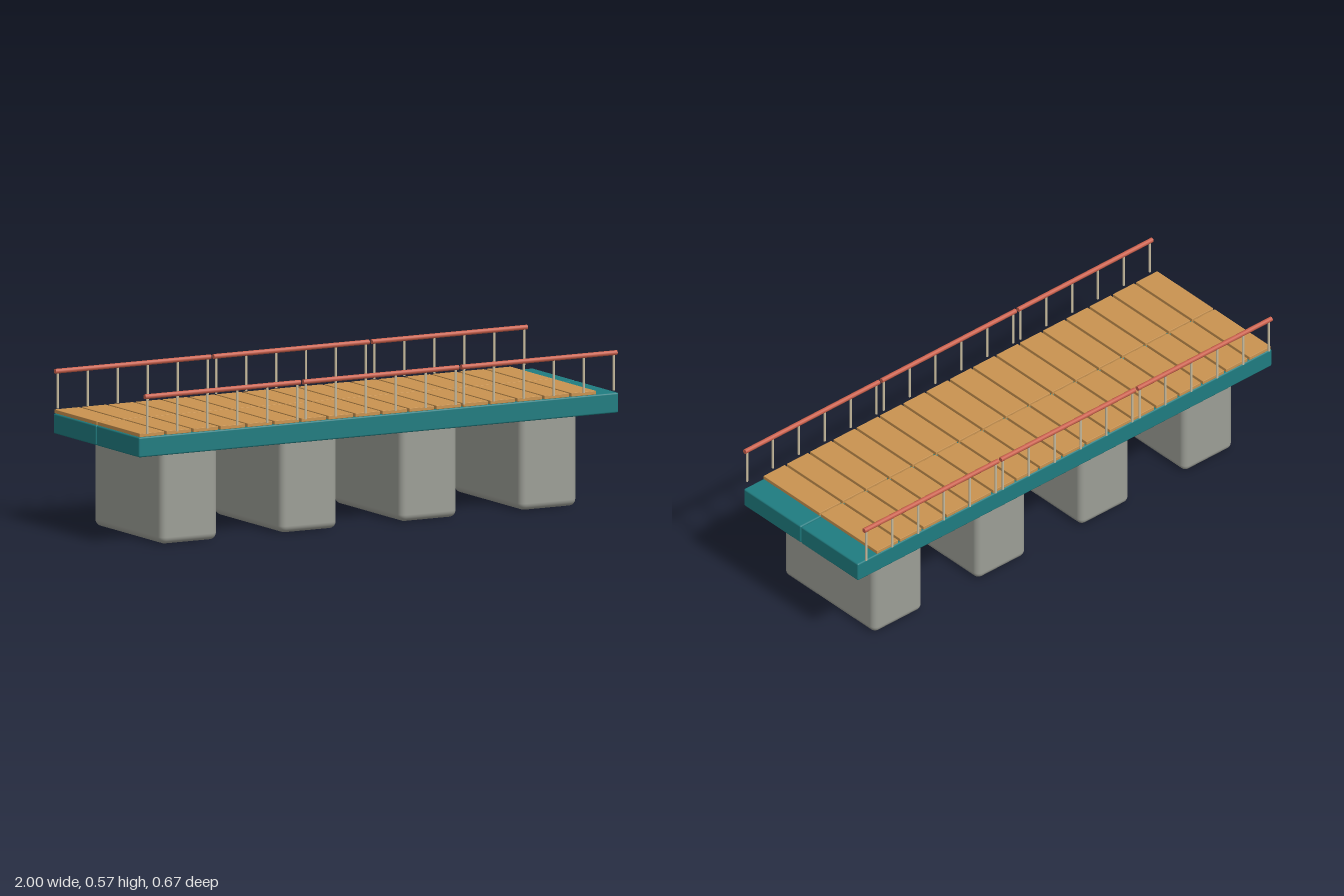
import * as THREE from 'three';
import { RoundedBoxGeometry } from 'three/addons/geometries/RoundedBoxGeometry.js';

const material = (name, color) => {
  const m = new THREE.MeshStandardMaterial({ color });
  m.name = name;
  return m;
};

export function createModel() {
  const bridge = new THREE.Group();
  bridge.name = 'bridge';

  const stone = material('grey stone', 0x9c9e96);
  const teal = material('teal paint', 0x1f7c80);
  const wood = material('plank wood', 0xc99350);
  const red = material('red handrail', 0xc9604c);
  const cream = material('cream post', 0xc9bda0);

  const add = (parent, name, geometry, mat, x, y, z) => {
    const mesh = new THREE.Mesh(geometry, mat);
    mesh.name = name;
    mesh.position.set(x, y, z);
    parent.add(mesh);
    return mesh;
  };

  // Four rounded piers, their tops sunk into the girders
  const pierGeo = new RoundedBoxGeometry(0.237, 0.375, 0.498, 4, 0.025);
  for (let i = 0; i < 4; i++) {
    add(bridge, 'pier', pierGeo, stone, -0.752 + i * 0.4995, 0.1875, 0);
  }

  const girderGeo = new RoundedBoxGeometry(2, 0.074, 0.311, 2, 0.006);
  const plankGeo = new RoundedBoxGeometry(0.1025, 0.014, 0.306, 1, 0.0015);
  const postGeo = new THREE.CylinderGeometry(0.0045, 0.0045, 0.134, 12);
  const railGeo = new THREE.CylinderGeometry(0.009, 0.009, 0.648, 16);
  railGeo.rotateZ(Math.PI / 2);

  for (const side of [1, -1]) {
    // Deck girder for this half
    add(bridge, 'girder', girderGeo, teal, 0, 0.376, side * 0.1563);

    // Row of planks, leaving the +x end of the girder bare
    const planks = new THREE.Group();
    planks.name = 'planks';
    for (let i = 0; i < 17; i++) {
      add(planks, 'plank', plankGeo, wood, -0.945 + i * 0.1125, 0.42, side * 0.1565);
    }
    bridge.add(planks);

    // Three railing sections, each a handrail on six posts
    for (let s = 0; s < 3; s++) {
      const railing = new THREE.Group();
      railing.name = 'railing';
      railing.position.set(-0.661 + s * 0.66, 0, side * 0.325);
      add(railing, 'handrail', railGeo, red, 0, 0.563, 0);
      for (let p = 0; p < 6; p++) {
        add(railing, 'post', postGeo, cream, -0.3125 + p * 0.125, 0.493, 0);
      }
      bridge.add(railing);
    }
  }

  return bridge;
}
